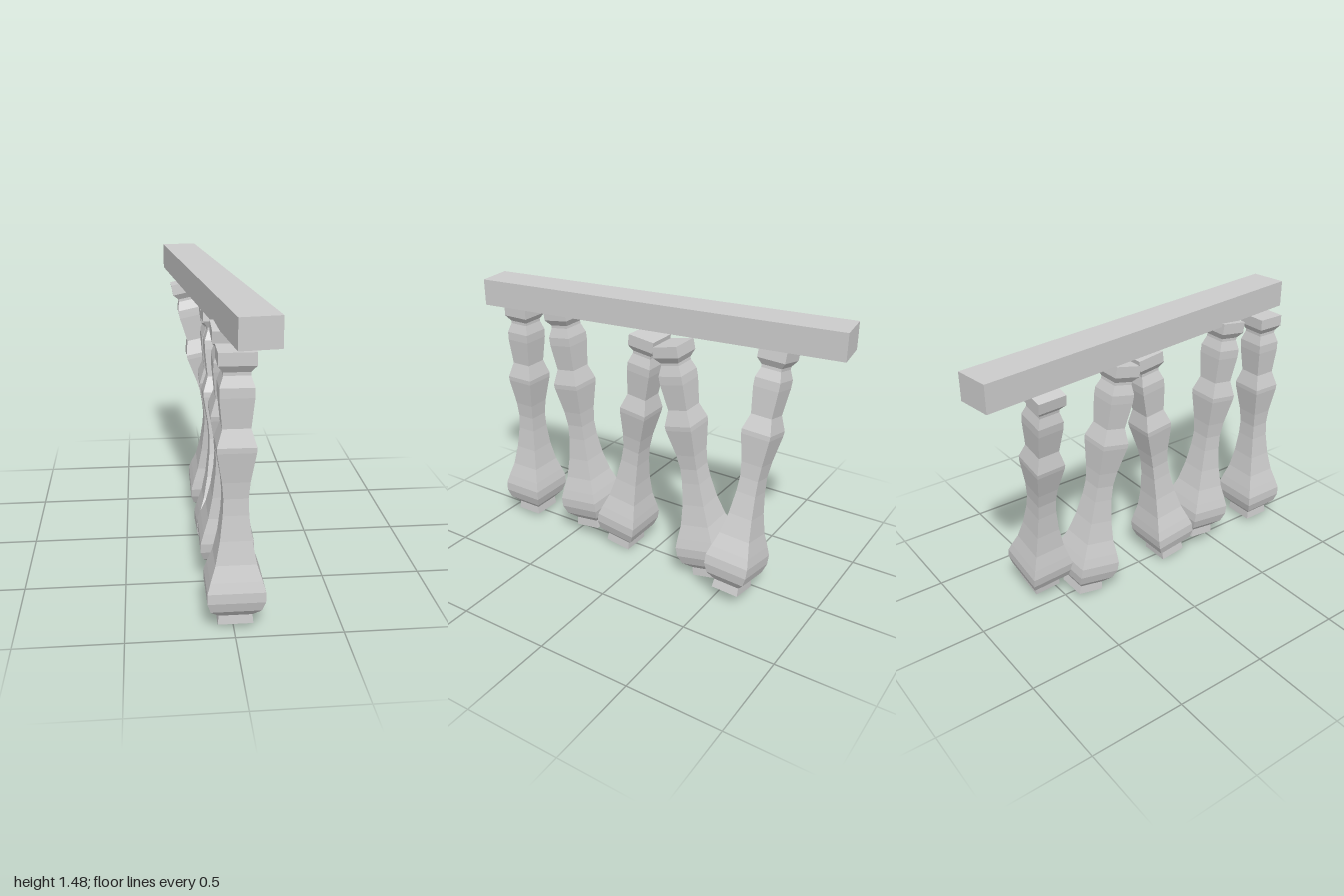
import * as THREE from 'three';

export function createModel() {
  const model = new THREE.Group();
  const material = new THREE.MeshStandardMaterial({ color: 0xcccccc, flatShading: true });

  // Handrail, slightly turned across the row
  const rail = new THREE.Mesh(new THREE.BoxGeometry(0.19, 0.14, 1.985), material);
  rail.name = 'handrail';
  rail.position.set(-0.025, 1.41, -0.005);
  rail.rotation.y = 0.121;
  model.add(rail);

  // Square baluster profile: [half depth, height above the foot]
  const profile = [
    [0, 0], [0.074, 0], [0.07, 0.045], [0.105, 0.085], [0.119, 0.135], [0.119, 0.185],
    [0.106, 0.235], [0.084, 0.31], [0.065, 0.42], [0.053, 0.54], [0.05, 0.62], [0.056, 0.7],
    [0.077, 0.845], [0.078, 0.87], [0.056, 0.95], [0.068, 1.09], [0.068, 1.135],
    [0.053, 1.185], [0.053, 1.2], [0.074, 1.232], [0.074, 1.29], [0, 1.29],
  ].map(([half, y]) => new THREE.Vector2(half * Math.SQRT2, y));
  const balusterGeometry = new THREE.LatheGeometry(profile, 4, Math.PI / 4);
  balusterGeometry.scale(1.115, 1, 1);

  // Loose balusters: foot x, y, z, then lean about x and z
  const balusters = [
    [0.0075, 0.028, 0.855, 0, 0],
    [0.0075, 0.07, 0.407, 0.134, 0],
    [0.0075, 0.02, 0.193, -0.134, 0],
    [0.0075, 0.018, -0.383, 0.21, 0],
    [0.139, 0.058, -0.573, -0.052, 0.21],
  ];
  balusters.forEach(([x, y, z, leanX, leanZ], i) => {
    const baluster = new THREE.Mesh(balusterGeometry, material);
    baluster.name = `baluster${i + 1}`;
    baluster.position.set(x, y, z);
    baluster.rotation.set(leanX, 0, leanZ);
    model.add(baluster);
  });

  return model;
}
